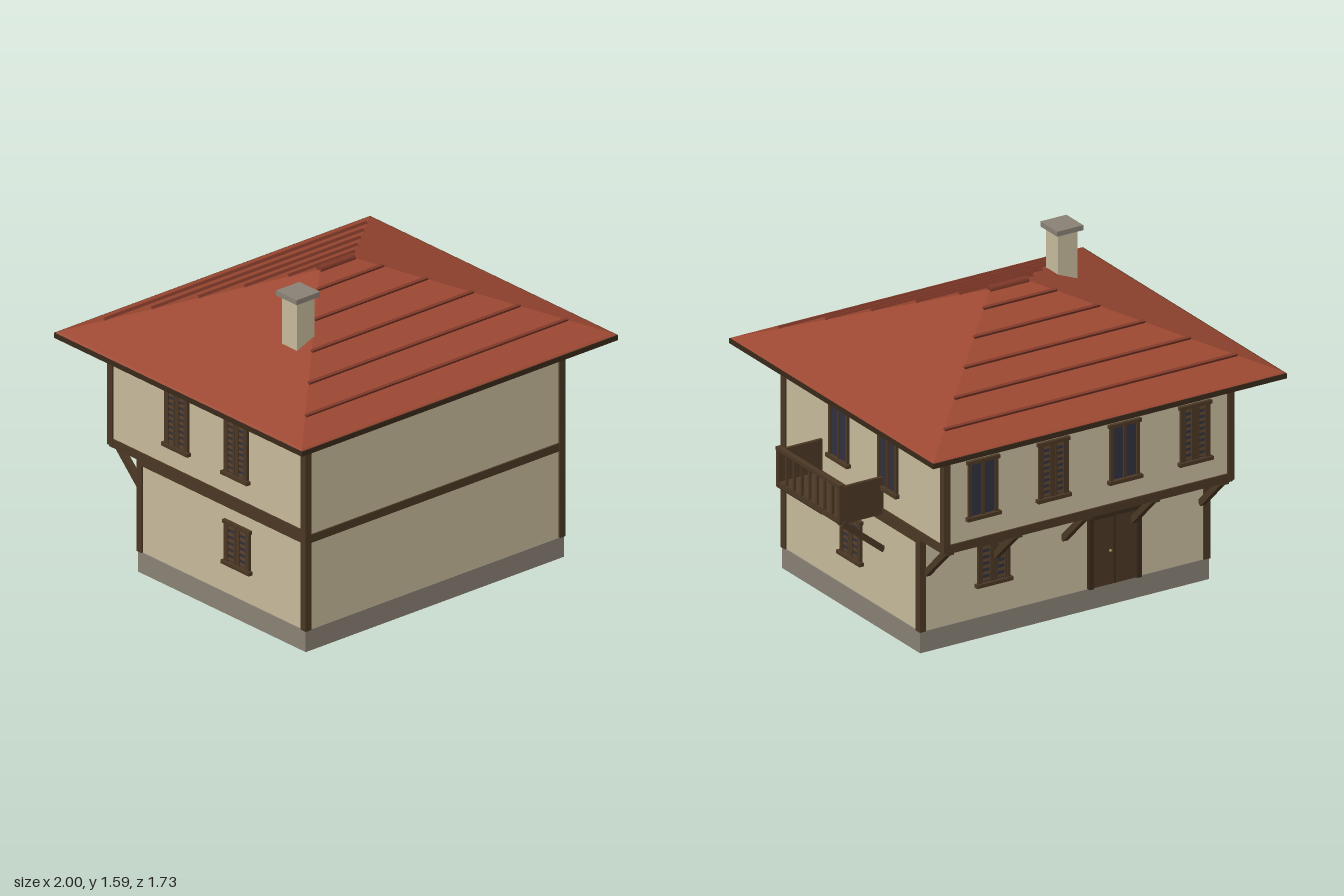
import * as THREE from 'three';
import { ConvexGeometry } from 'three/addons/geometries/ConvexGeometry.js';

const mat = (name, color) => {
  const m = new THREE.MeshStandardMaterial({ color });
  m.name = name;
  return m;
};

export function createModel() {
  const M = {
    plaster: mat('plaster', 0xc8bc9c),
    stone: mat('stone', 0x8a8276),
    wood: mat('wood', 0x4c3824),
    darkWood: mat('dark wood', 0x3a2a1a),
    tile: mat('roof tile', 0x9c4832),
    batten: mat('tile ridge', 0x823a29),
    glass: mat('glass', 0x30313f),
    brass: mat('brass', 0x9a7b3c),
  };
  const house = new THREE.Group();
  house.name = 'house';

  // box given by its min and max corners
  const box = (parent, name, m, x0, x1, y0, y1, z0, z1) => {
    const b = new THREE.Mesh(new THREE.BoxGeometry(x1 - x0, y1 - y0, z1 - z0), m);
    b.position.set((x0 + x1) / 2, (y0 + y1) / 2, (z0 + z1) / 2);
    b.name = name;
    parent.add(b);
    return b;
  };
  // square bar between two points
  const bar = (parent, name, m, a, b, w) => {
    const p = new THREE.Vector3(...a), q = new THREE.Vector3(...b);
    const s = new THREE.Mesh(new THREE.BoxGeometry(w, w, p.distanceTo(q)), m);
    s.position.copy(p).add(q).multiplyScalar(0.5);
    s.lookAt(q);
    s.name = name;
    parent.add(s);
  };

  const L = -0.815, R = 0.755, F = 0.685, B = -0.475, BU = -0.68, CX = -0.03;

  // walls and plinth
  box(house, 'plinth', M.stone, L - 0.005, R + 0.005, 0, 0.105, B - 0.005, F + 0.005);
  box(house, 'lowerWalls', M.plaster, L, R, 0.105, 0.575, B, F);
  box(house, 'upperWalls', M.plaster, L, R, 0.575, 1.105, BU, F);

  // corner posts
  const e = 0.01, p = 0.025;
  for (const [x0, x1] of [[L - e, L + p], [R - p, R + e]]) {
    box(house, 'frontPost', M.wood, x0, x1, 0.105, 1.105, F - p, F + e);
    box(house, 'lowerBackPost', M.wood, x0, x1, 0.105, 0.575, B - e, B + p);
    box(house, 'upperBackPost', M.wood, x0, x1, 0.575, 1.105, BU - e, BU + p);
  }

  // floor beams
  box(house, 'frontBeam', M.wood, L, R, 0.545, 0.585, F - 0.01, F + 0.008);
  box(house, 'backBeam', M.wood, L, R, 0.568, 0.61, BU - 0.008, BU + 0.02);
  for (const x of [L, R]) {
    box(house, 'sideBeam', M.wood, x - 0.008, x + 0.008, 0.545, 0.61, B, F);
    box(house, 'overhangBeam', M.wood, x - 0.008, x + 0.008, 0.568, 0.61, BU, B);
  }

  // joists and struts under the overhang
  for (let i = 0; i < 5; i++) {
    const x = CX + (i - 2) * 0.376;
    box(house, 'joist', M.wood, x - 0.018, x + 0.018, 0.555, 0.58, BU, B);
    bar(house, 'strut', M.wood, [x, 0.39, B], [x, 0.57, BU + 0.02], 0.03);
  }

  // roof: eaves board, hipped slopes, tile courses and ridge cap
  box(house, 'eaves', M.darkWood, CX - 0.967, CX + 0.967, 1.105, 1.13, -0.865, 0.865);
  const pts = [];
  for (const sx of [-1, 1]) {
    for (const sz of [-1, 1]) {
      pts.push(new THREE.Vector3(CX + sx * 0.965, 1.128, sz * 0.862));
      pts.push(new THREE.Vector3(CX + sx * 0.955, 1.137, sz * 0.852));
    }
    pts.push(new THREE.Vector3(CX + sx * 0.1, 1.488, 0));
  }
  const roof = new THREE.Mesh(new ConvexGeometry(pts), M.tile);
  roof.name = 'roof';
  house.add(roof);
  const slope = Math.atan2(0.351, 0.852);
  for (const s of [-1, 1]) {
    for (const z of [0.7, 0.545, 0.393, 0.243, 0.1]) {
      const b = new THREE.Mesh(new THREE.BoxGeometry(2 * (z + 0.1), 0.02, 0.014), M.batten);
      b.position.set(CX, 1.488 - z * Math.tan(slope) + 0.003, s * z);
      b.rotation.x = s * slope;
      b.name = 'tileCourse';
      house.add(b);
    }
  }
  const cap = new THREE.Mesh(new THREE.CylinderGeometry(0.02, 0.02, 0.21, 6), M.batten);
  cap.rotation.z = Math.PI / 2;
  cap.position.set(CX, 1.488, 0);
  cap.name = 'ridgeCap';
  house.add(cap);

  // chimney
  box(house, 'chimney', M.plaster, -0.55, -0.445, 1.2, 1.565, 0.218, 0.322);
  box(house, 'chimneyCap', M.stone, -0.57, -0.427, 1.56, 1.585, 0.198, 0.342);

  // groups on a wall: local z points outward, local y starts at the given height
  const onWall = (name, x, y, z, turn) => {
    const g = new THREE.Group();
    g.name = name;
    g.position.set(x, y, z);
    g.rotation.y = turn;
    house.add(g);
    return g;
  };

  // window with two leaves, glazed or louvred
  const addWindow = (x, y, z, turn, w, h, louvred) => {
    const g = onWall(louvred ? 'louvredWindow' : 'glazedWindow', x, y, z, turn);
    const a = w / 2, t = 0.016;
    box(g, 'pane', M.glass, -a + t, a - t, t, h - t, -0.005, 0.004);
    for (const s of [-1, 1]) {
      const c = s * (a - t / 2);
      box(g, 'jamb', M.wood, c - t / 2, c + t / 2, 0.01, h - 0.01, -0.005, 0.014);
    }
    box(g, 'mullion', M.wood, -0.007, 0.007, t, h - t, -0.005, 0.012);
    box(g, 'lintel', M.wood, -a - 0.008, a + 0.008, h - 0.018, h, -0.005, 0.018);
    box(g, 'sill', M.wood, -a - 0.012, a + 0.012, 0, 0.018, -0.005, 0.024);
    if (!louvred) return;
    const n = Math.round((h - 2 * t) / 0.031);
    for (const s of [-1, 1]) {
      const inner = s * 0.014, outer = s * (a - t - 0.004);
      box(g, 'leafStile', M.wood, inner - 0.006, inner + 0.006, t, h - t, 0, 0.013);
      box(g, 'leafStile', M.wood, outer - 0.006, outer + 0.006, t, h - t, 0, 0.013);
      for (let i = 0; i < n; i++) {
        const yy = t + (i + 0.5) * (h - 2 * t) / n, c = s * (a - t) / 2;
        const slat = box(g, 'slat', M.wood, c - (a - t) / 2, c + (a - t) / 2, yy - 0.007, yy + 0.007, 0.005, 0.009);
        slat.rotation.x = -0.45;
      }
    }
  };
  const turnR = Math.PI / 2, turnB = Math.PI;
  for (const z of [-0.207, 0.207]) {
    addWindow(R, 0.709, z, turnR, 0.16, 0.298, false);
    addWindow(L, 0.709, z, -turnR, 0.16, 0.298, true);
  }
  addWindow(R, 0.257, 0.105, turnR, 0.174, 0.223, true);
  addWindow(L, 0.257, 0.215, -turnR, 0.174, 0.223, true);
  addWindow(0.36, 0.257, B, turnB, 0.174, 0.223, true);
  [0.55, 0.165, -0.225, -0.61].forEach((x, i) =>
    addWindow(x, 0.709, BU, turnB, 0.16, 0.298, i % 2 === 1));

  // double door
  const door = onWall('door', -0.3, 0.105, B, turnB);
  for (const s of [-1, 1]) {
    const c = s * 0.06, j = s * 0.131;
    box(door, 'doorLeaf', M.wood, c - 0.058, c + 0.058, 0, 0.35, -0.005, 0.01);
    box(door, 'doorJamb', M.darkWood, j - 0.012, j + 0.012, 0, 0.36, -0.005, 0.02);
  }
  box(door, 'doorGap', M.darkWood, -0.003, 0.003, 0, 0.35, -0.005, 0.012);
  box(door, 'doorLintel', M.darkWood, -0.15, 0.15, 0.345, 0.37, -0.005, 0.024);
  const knob = new THREE.Mesh(new THREE.SphereGeometry(0.008, 10, 8), M.brass);
  knob.position.set(-0.025, 0.17, 0.016);
  knob.name = 'doorKnob';
  door.add(knob);

  // balcony
  const balcony = new THREE.Group();
  balcony.name = 'balcony';
  house.add(balcony);
  const z0 = -0.163, z1 = 0.37;
  box(balcony, 'balconyFloor', M.wood, R, 0.995, 0.582, 0.61, z0, z1);
  box(balcony, 'topRail', M.wood, 0.975, 1, 0.764, 0.782, z0 - 0.006, z1 + 0.005);
  for (const z of [z0, z1 - 0.016]) {
    box(balcony, 'sidePanel', M.wood, R, 0.99, 0.585, 0.768, z, z + 0.016);
    box(balcony, 'cornerPost', M.wood, 0.978, 0.998, 0.582, 0.775, z - 0.002, z + 0.018);
  }
  for (let i = 1; i < 8; i++) {
    const z = z0 + 0.008 + i * (z1 - z0 - 0.016) / 8;
    box(balcony, 'baluster', M.wood, 0.982, 0.994, 0.605, 0.768, z - 0.006, z + 0.006);
  }
  for (const z of [z0 + 0.01, z1 - 0.008])
    bar(balcony, 'balconyStrut', M.wood, [R, 0.405, z], [0.98, 0.585, z], 0.03);

  return house;
}
